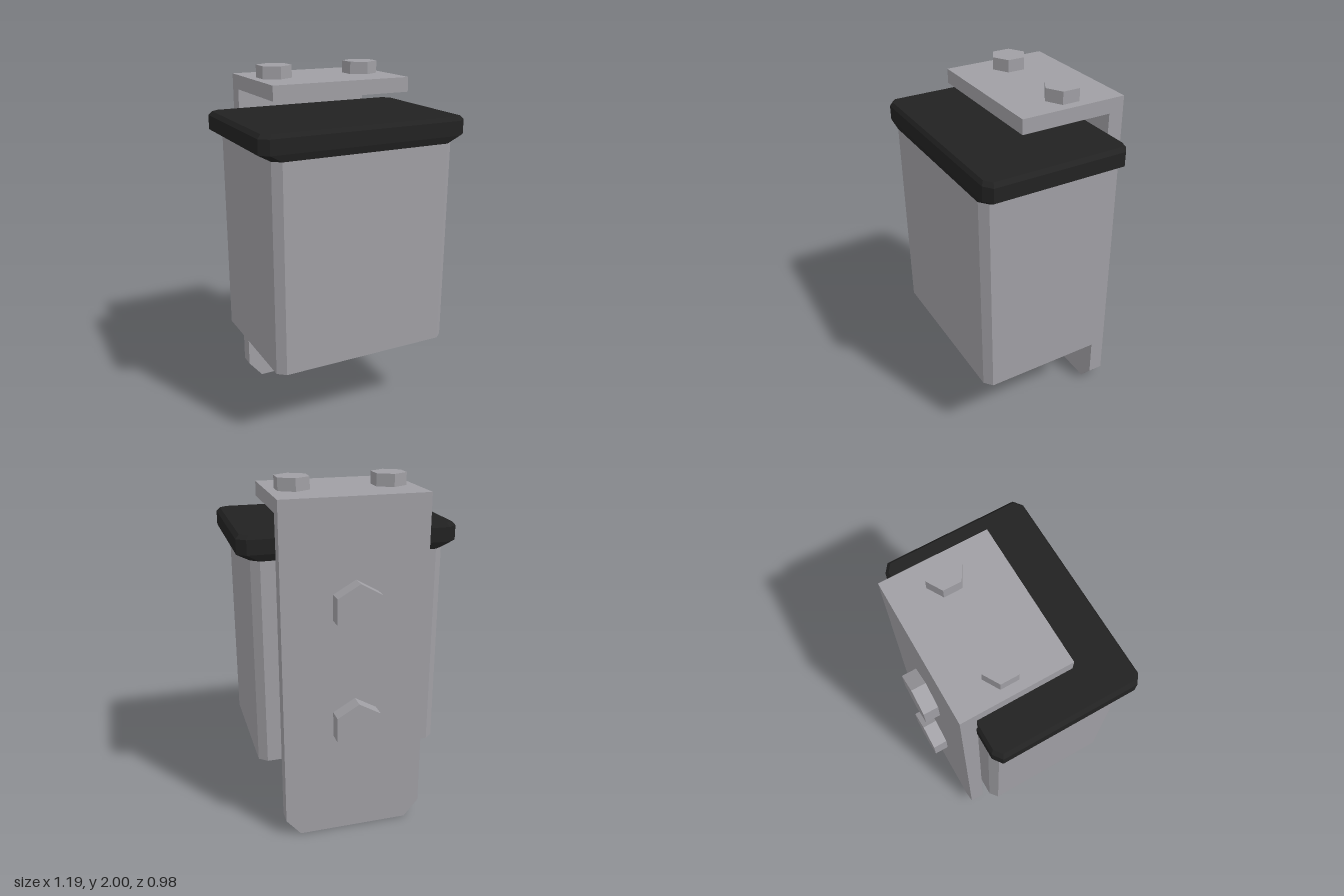
import * as THREE from 'three';

// Octagonal ring: a rectangle with cut corners at height y
function ring(y, hx, zBack, zFront, cx, cz) {
  return [
    [hx, zFront - cz], [hx, zBack + cz], [hx - cx, zBack], [-hx + cx, zBack],
    [-hx, zBack + cz], [-hx, zFront - cz], [-hx + cx, zFront], [hx - cx, zFront],
  ].map(([x, z]) => new THREE.Vector3(x, y, z));
}

// Joins rings from bottom to top, with optional flat caps
function loft(rings, capped) {
  const pos = [];
  const tri = (...pts) => pts.forEach((p) => pos.push(p.x, p.y, p.z));
  const n = rings[0].length;
  for (let r = 0; r < rings.length - 1; r++) {
    const a = rings[r], b = rings[r + 1];
    for (let i = 0; i < n; i++) {
      const j = (i + 1) % n;
      tri(a[i], a[j], b[j]);
      tri(a[i], b[j], b[i]);
    }
  }
  if (capped) {
    const low = rings[0], top = rings[rings.length - 1];
    for (let i = 1; i < n - 1; i++) {
      tri(low[0], low[i + 1], low[i]);
      tri(top[0], top[i], top[i + 1]);
    }
  }
  const geo = new THREE.BufferGeometry();
  geo.setAttribute('position', new THREE.Float32BufferAttribute(pos, 3));
  geo.computeVertexNormals();
  return geo;
}

export function createModel() {
  const group = new THREE.Group();
  const metal = new THREE.MeshStandardMaterial({ color: 0xa09fa4, side: THREE.DoubleSide, flatShading: true });
  metal.name = 'grey metal';
  const rubber = new THREE.MeshStandardMaterial({ color: 0x222222, flatShading: true });
  rubber.name = 'black lid';

  const add = (name, geo, mat, x = 0, y = 0, z = 0) => {
    const mesh = new THREE.Mesh(geo, mat);
    mesh.name = name;
    mesh.position.set(x, y, z);
    group.add(mesh);
    return mesh;
  };

  // Thin-walled housing, open at the bottom
  add('housing', loft([
    ring(0.455, 0.523, -0.308, 0.478, 0.045, 0.037),
    ring(1.62, 0.523, -0.308, 0.478, 0.045, 0.037),
  ], false), metal);

  // Bevelled lid
  add('lid', loft([
    ring(1.61, 0.523, -0.309, 0.479, 0.045, 0.036),
    ring(1.648, 0.593, -0.325, 0.489, 0.048, 0.036),
    ring(1.727, 0.593, -0.325, 0.489, 0.048, 0.036),
    ring(1.748, 0.573, -0.311, 0.475, 0.042, 0.032),
  ], true), rubber);

  // Back plate with clipped lower corners
  const plate = new THREE.Shape([
    [-0.318, 0], [0.318, 0], [0.401, 0.1], [0.401, 1.932], [-0.401, 1.932], [-0.401, 0.1],
  ].map(([x, y]) => new THREE.Vector2(x, y)));
  add('backPlate', new THREE.ExtrudeGeometry(plate, { depth: 0.085, bevelEnabled: false }), metal, 0, 0, -0.405);

  // Top flange bent forward from the back plate
  add('topFlange', new THREE.BoxGeometry(0.802, 0.08, 0.51), metal, 0, 1.892, -0.065);

  // Hexagonal bolt heads on the flange
  for (const side of [-1, 1]) {
    add(side > 0 ? 'topBoltLeft' : 'topBoltRight',
      new THREE.CylinderGeometry(0.098, 0.098, 0.07, 6), metal, side * 0.265, 1.965, -0.119);
  }

  // Larger bolt heads on the back
  for (const [name, y] of [['backBoltUpper', 1.363], ['backBoltLower', 0.688]]) {
    add(name, new THREE.CylinderGeometry(0.142, 0.142, 0.086, 6), metal, 0, y, -0.446).rotation.x = Math.PI / 2;
  }

  return group;
}
